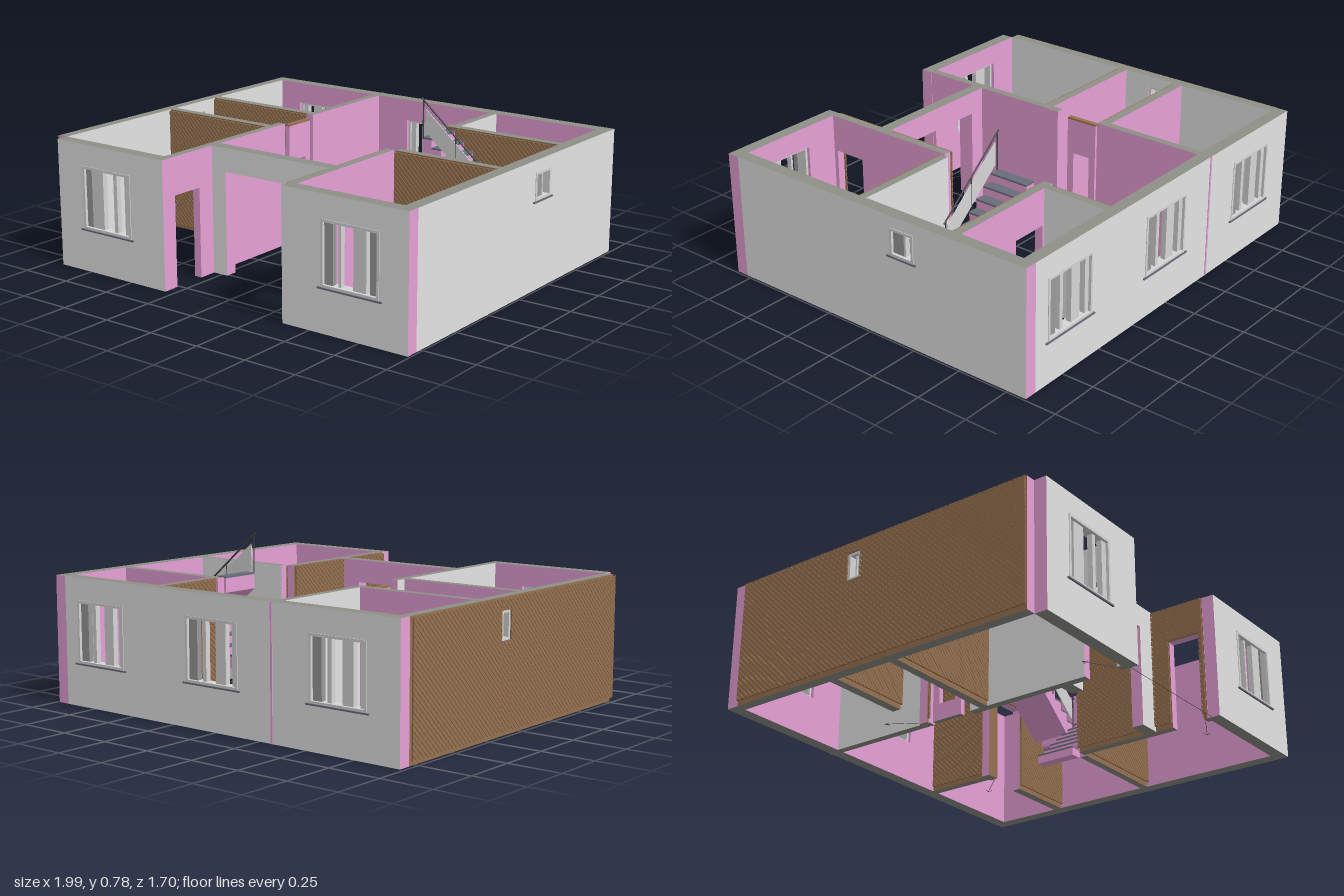
import * as THREE from 'three';

const mat = (name, color) => {
  const m = new THREE.MeshStandardMaterial({ color });
  m.name = name;
  return m;
};

export function createModel() {
  const plaster = mat('greyPlaster', 0xe4e4e4), pink = mat('pinkPlaster', 0xe6a0d6);
  const cap = mat('wallTop', 0x8e9088), boards = mat('brownBoards', 0x967150);
  const frame = mat('windowFrame', 0xd6d6d6), shade = mat('darkPanel', 0x9a9a9a);
  const slate = mat('slate', 0x696d7a), dark = mat('darkLine', 0x404244);
  const root = new THREE.Group();
  root.name = 'houseFloor';
  const H = 0.595;

  const group = (name, parent = root) => {
    const g = new THREE.Group();
    g.name = name;
    parent.add(g);
    return g;
  };

  // box given by its minimum and maximum corners
  function box(name, parent, x0, x1, y0, y1, z0, z1, material) {
    const m = new THREE.Mesh(new THREE.BoxGeometry(x1 - x0, y1 - y0, z1 - z0), material);
    m.position.set((x0 + x1) / 2, (y0 + y1) / 2, (z0 + z1) / 2);
    m.name = name;
    parent.add(m);
    return m;
  }

  // calls piece(u0, u1, v0, v1) for each solid rectangle around openings [u0, u1, v0, v1]
  function eachPiece(a, b, y0, y1, openings, piece) {
    const put = (u0, u1, v0, v1) => u1 - u0 > 1e-4 && v1 - v0 > 1e-4 && piece(u0, u1, v0, v1);
    let u = a;
    for (const [o0, o1, p0, p1] of openings) {
      put(u, o0, y0, y1);
      put(o0, o1, y0, p0);
      put(o0, o1, p1, y1);
      u = o1;
    }
    put(u, b, y0, y1);
  }

  // wall along 'x' or 'z' from a to b, between c0 and c1 across
  function wall(name, axis, a, b, c0, c1, neg, pos, openings = [], y1 = H) {
    const g = group(name);
    eachPiece(a, b, 0, y1, openings, (u0, u1, v0, v1) => {
      const top = v1 === y1 ? cap : pink, under = v0 === 0 ? cap : pink;
      if (axis === 'x') box(name + 'Piece', g, u0, u1, v0, v1, c0, c1, [pink, pink, top, under, pos, neg]);
      else box(name + 'Piece', g, c0, c1, v0, v1, u0, u1, [pos, neg, top, under, pink, pink]);
    });
  }

  // diagonal boards hung just off a wall face
  function cladding(name, axis, a, b, c, openings = []) {
    const slats = [], pitch = 0.025, width = 0.022, depth = 0.007;
    eachPiece(a, b, 0.02, 0.59, openings, (u0, u1, v0, v1) => {
      const lo = t => { const u = Math.max(u0, t - v1); return [u, t - u]; };
      const hi = t => { const u = Math.min(u1, t - v0); return [u, t - u]; };
      for (let t = u0 + v0; t < u1 + v1; t += pitch) {
        const e = Math.min(t + width, u1 + v1), pts = [lo(t)];
        if (t < u0 + v1 && u0 + v1 < e) pts.push([u0, v1]);
        pts.push(lo(e), hi(e));
        if (t < u1 + v0 && u1 + v0 < e) pts.push([u1, v0]);
        pts.push(hi(t));
        const distinct = pts.filter((p, i) => {
          const q = pts[(i + 1) % pts.length];
          return Math.hypot(p[0] - q[0], p[1] - q[1]) > 1e-5;
        });
        if (distinct.length > 2) slats.push(new THREE.Shape(distinct.map(p => new THREE.Vector2(...p))));
      }
    });
    const m = new THREE.Mesh(new THREE.ExtrudeGeometry(slats, { depth, bevelEnabled: false }), boards);
    if (axis === 'z') {
      m.rotation.y = -Math.PI / 2;
      m.position.x = c + depth / 2;
    } else m.position.z = c - depth / 2;
    m.name = name;
    root.add(m);
  }

  // outer walls
  const backWins = [[-0.815, -0.52], [-0.13, 0.17], [0.555, 0.85]].map(([p, q]) => [p, q, 0.2, 0.49]);
  const frontL = [-0.78, -0.49, 0.2, 0.495], frontR = [0.56, 0.85, 0.2, 0.49];
  const rightWin = [-0.255, -0.125, 0.41, 0.54], leftWin = [-0.16, -0.09, 0.41, 0.54];
  wall('backWall', 'x', -0.98, 0.93, -0.845, -0.785, plaster, pink, backWins);
  wall('leftWall', 'z', -0.785, 0.78, -0.98, -0.932, boards, plaster, [leftWin]);
  wall('rightWall', 'z', -0.845, 0.78, 0.93, 0.99, pink, plaster, [rightWin]);
  wall('frontLeftWall', 'x', -0.932, -0.295, 0.78, 0.84, pink, plaster, [frontL]);
  wall('frontRightWall', 'x', 0.36, 0.99, 0.78, 0.84, pink, plaster, [frontR]);
  cladding('leftCladding', 'z', -0.78, 0.78, -0.991, [leftWin]);
  box('backSeam', root, -0.325, -0.315, 0, H, -0.848, -0.843, pink);

  // inner walls
  const DH = 0.42;
  const doorB = [-0.53, -0.35, 0, DH], doorG = [0.4, 0.58, 0, DH], doorD = [0.6, 0.76, 0, DH];
  wall('backLeftDivider', 'z', -0.785, -0.235, -0.34, -0.303, plaster, pink);
  wall('backRoomWall', 'x', -0.932, -0.34, -0.285, -0.242, pink, boards, [doorB]);
  wall('middleLeftWall', 'x', -0.932, -0.335, 0.045, 0.085, pink, boards);
  wall('frontLeftDivider', 'z', -0.01, 0.78, -0.335, -0.297, plaster, pink, [doorD]);
  wall('frontRightDivider', 'z', 0.09, 0.78, 0.358, 0.397, boards, pink, [doorD]);
  wall('middleRightWall', 'x', 0.41, 0.93, 0.058, 0.095, plaster, boards);
  wall('backRightDivider', 'z', -0.785, -0.465, 0.352, 0.39, boards, plaster);
  wall('stairRoomWall', 'x', 0.335, 0.93, -0.465, -0.423, pink, boards, [doorG]);
  wall('porchWall', 'x', -0.297, 0.358, 0.455, 0.512, pink, plaster, [[-0.22, 0.25, 0, 0.485]]);
  cladding('backRoomCladding', 'x', -0.93, -0.34, -0.234, [doorB]);
  cladding('middleLeftCladding', 'x', -0.93, -0.34, 0.093);
  cladding('middleRightCladding', 'x', 0.41, 0.93, 0.104);
  cladding('stairRoomCladding', 'x', 0.4, 0.93, -0.415, [doorG]);
  cladding('frontRightCladding', 'z', 0.09, 0.78, 0.347, [doorD]);
  cladding('backRightCladding', 'z', -0.78, -0.47, 0.344);

  // bathroom door wall with brown top
  wall('bathDoorWall', 'z', -0.22, -0.06, -0.335, -0.31, pink, pink, [[-0.185, -0.095, 0.08, 0.4]], 0.57);
  box('bathDoorTop', root, -0.335, -0.31, 0.57, 0.578, -0.22, -0.06, boards);

  // window: frame, upright panels given as [start, end, material] fractions, and sill
  function windowUnit(name, axis, [u0, u1, y0, y1], inner, outer, panels) {
    const g = group(name);
    const put = (part, a, b, v0, v1, c0, c1, m) => {
      const [lo, hi] = c0 < c1 ? [c0, c1] : [c1, c0];
      if (axis === 'x') box(part, g, a, b, v0, v1, lo, hi, m);
      else box(part, g, lo, hi, v0, v1, a, b, m);
    };
    const d = Math.sign(outer - inner), f = 0.012, c0 = outer - d * 0.045, c1 = outer + d * 0.003;
    put('frameSide', u0, u0 + f, y0, y1, c0, c1, frame);
    put('frameSide', u1 - f, u1, y0, y1, c0, c1, frame);
    put('frameTop', u0, u1, y1 - f, y1, c0, c1, frame);
    put('frameBottom', u0, u1, y0, y0 + f, c0, c1, frame);
    for (const [s, e, m] of panels)
      put('sash', u0 + s * (u1 - u0), u0 + e * (u1 - u0), y0 + f, y1 - f, outer - d * 0.035, outer - d * 0.01, m);
    put('sill', u0 - 0.015, u1 + 0.015, y0 - 0.006, y0 + 0.001, outer - d * 0.03, outer + d * 0.008, slate);
  }
  const wide = [[0.03, 0.19, shade], [0.29, 0.33, frame], [0.54, 0.76, frame], [0.82, 0.97, shade]];
  const wideL = [[0.03, 0.16, shade], [0.16, 0.4, frame], [0.62, 0.69, frame], [0.85, 0.97, frame]];
  const mid = [[0.03, 0.13, frame], [0.25, 0.44, frame], [0.63, 0.7, frame], [0.8, 0.96, shade]];
  windowUnit('frontLeftWindow', 'x', frontL, 0.78, 0.84, wideL);
  windowUnit('frontRightWindow', 'x', frontR, 0.78, 0.84, wide);
  backWins.forEach((w, i) => windowUnit('backWindow' + (i + 1), 'x', w, -0.785, -0.845, mid));
  windowUnit('rightWindow', 'z', rightWin, 0.93, 0.99, [[0.38, 0.44, frame], [0.46, 0.92, shade]]);
  windowUnit('leftWindow', 'z', leftWin, -0.932, -0.985, [[0.45, 0.55, frame]]);

  // stairs: two flights and a landing
  const stairs = group('stairs');
  const N = 7, X0 = 0.36, run = 0.05, rise = 0.3 / N;
  function flight(name, z0, z1, up) {
    // up = 1 climbs to +x from the floor, up = -1 climbs to -x from the landing
    const base = up > 0 ? 0 : 0.29;
    const at = i => (up > 0 ? X0 + i * run : X0 + (N - i) * run);
    const s = new THREE.Shape();
    s.moveTo(at(0), base);
    for (let i = 0; i < N; i++) {
      const y = base + (i + 1) * rise - 0.006;
      s.lineTo(at(i), y);
      s.lineTo(at(i + 1), y);
      box(name + 'Tread', stairs, Math.min(at(i), at(i + 1)), Math.max(at(i), at(i + 1)) + 0.003, y, y + 0.008, z0, z1, slate);
    }
    s.lineTo(at(N), base + (N - 1) * rise - 0.03);
    s.lineTo(at(1), base - (up > 0 ? 0 : 0.03));
    const m = new THREE.Mesh(new THREE.ExtrudeGeometry(s, { depth: z1 - z0, bevelEnabled: false }), pink);
    m.position.z = z0;
    m.name = name;
    stairs.add(m);
  }
  flight('lowerFlight', -0.15, 0.05, 1);
  flight('upperFlight', -0.385, -0.19, -1);
  box('landing', stairs, 0.71, 0.91, 0.25, 0.295, -0.38, 0.045, pink);
  box('landingTop', stairs, 0.71, 0.91, 0.295, 0.303, -0.38, 0.045, slate);

  // thin straight bar between two points
  function bar(name, parent, p, q, r, m) {
    const a = new THREE.Vector3(...p), b = new THREE.Vector3(...q);
    const c = new THREE.Mesh(new THREE.CylinderGeometry(r, r, a.distanceTo(b), 6), m);
    c.position.copy(a).lerp(b, 0.5);
    c.quaternion.setFromUnitVectors(new THREE.Vector3(0, 1, 0), b.sub(a).normalize());
    c.name = name;
    parent.add(c);
  }

  // sloping handrail with posts and infill panel
  const rail = group('railing', stairs);
  bar('handrail', rail, [0.355, 0.775, -0.187], [0.72, 0.465, -0.187], 0.004, dark);
  for (const [x, y] of [[0.365, 0.765], [0.54, 0.615], [0.71, 0.47]])
    bar('post', rail, [x, y - 0.18, -0.187], [x, y, -0.187], 0.003, dark);
  const infill = new THREE.Shape([[0.7, 0.348], [0.7, 0.453], [0.38, 0.725], [0.38, 0.62]].map(p => new THREE.Vector2(...p)));
  const panel = new THREE.Mesh(new THREE.ExtrudeGeometry(infill, { depth: 0.004, bevelEnabled: false }), frame);
  panel.position.z = -0.189;
  panel.name = 'railingPanel';
  rail.add(panel);

  // door swing arrows and threshold line on the floor
  const marks = group('floorMarks');
  for (const [x0, z0, x1, z1] of [[-0.36, -0.28, -0.44, -0.41], [0.42, -0.46, 0.525, -0.575],
    [0.39, 0.75, 0.53, 0.675], [-0.335, 0.75, -0.46, 0.675]]) {
    bar('swingLine', marks, [x0, 0.002, z0], [x1, 0.002, z1], 0.001, dark);
    const t = Math.atan2(z0 - z1, x0 - x1);
    for (const s of [-0.6, 0.6])
      bar('arrowHead', marks, [x1, 0.002, z1], [x1 + 0.025 * Math.cos(t + s), 0.002, z1 + 0.025 * Math.sin(t + s)], 0.001, dark);
  }
  bar('threshold', marks, [-0.295, 0.002, 0.8], [0.36, 0.002, 0.8], 0.001, dark);
  return root;
}
